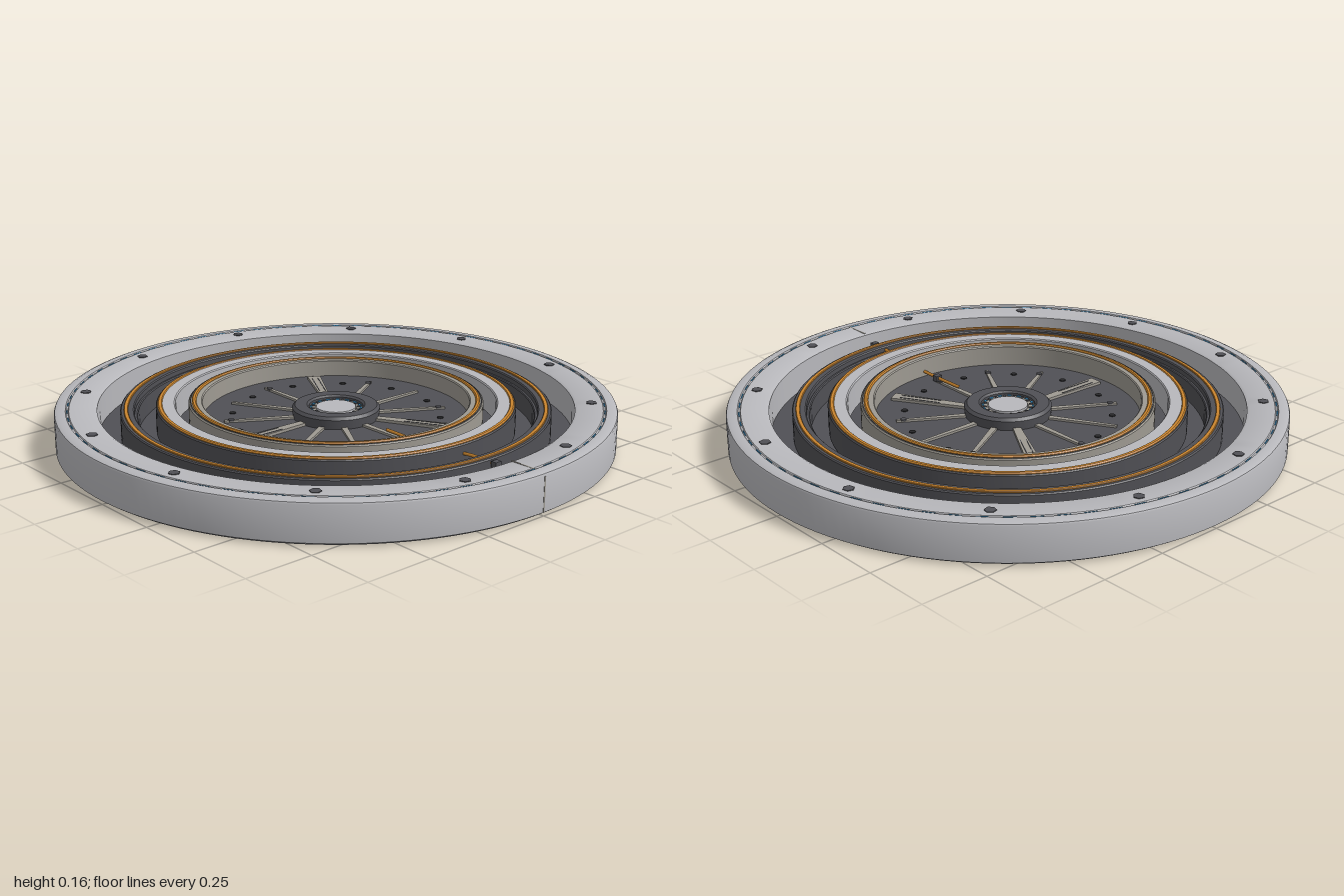
import * as THREE from 'three';
import { toCreasedNormals } from 'three/addons/utils/BufferGeometryUtils.js';

export function createModel() {
  const model = new THREE.Group();
  const mat = (name, color) => {
    const m = new THREE.MeshStandardMaterial({ color });
    m.name = name;
    return m;
  };
  const silver = mat('silver', 0xb8b8bc);
  const dark = mat('dark grey', 0x505055);
  const black = mat('black', 0x262628);
  const copper = mat('copper', 0xca852e);
  const stone = mat('warm grey', 0x9e9a92);
  const blue = mat('blue', 0x3a8fc4);

  const add = (name, geometry, material, parent = model) => {
    const mesh = new THREE.Mesh(geometry, material);
    mesh.name = name;
    parent.add(mesh);
    return mesh;
  };
  // Turned solid; profile runs up the outside and down the inside
  const turn = (name, points, material, parent) => add(name, toCreasedNormals(
    new THREE.LatheGeometry(points.map(([r, y]) => new THREE.Vector2(r, y)), 128), 0.5), material, parent);
  const ring = (name, r0, r1, y0, y1, material, parent) => {
    const b = Math.min(0.004, (r1 - r0) / 4, (y1 - y0) / 4);
    return turn(name, [[r0, y0], [r1, y0], [r1, y1 - b], [r1 - b, y1], [r0 + b, y1], [r0, y1 - b], [r0, y0]],
      material, parent);
  };
  const disc = (name, r, y0, y1, material, sides = 96, parent = model) => {
    const mesh = add(name, new THREE.CylinderGeometry(r, r, y1 - y0, sides), material, parent);
    mesh.position.y = (y0 + y1) / 2;
    return mesh;
  };
  const around = (r, angle, y, mesh) => {
    mesh.position.set(r * Math.cos(angle), y, r * Math.sin(angle));
    mesh.rotation.y = -angle;
    return mesh;
  };

  // Housing
  disc('basePad', 0.955, 0, 0.02, black, 128);
  turn('housing', [[0.95, 0.002], [0.985, 0.002], [1, 0.012], [1, 0.137], [0.997, 0.143], [0.985, 0.148],
    [0.96, 0.148], [0.957, 0.143], [0.951, 0.143], [0.948, 0.147], [0.86, 0.145], [0.85, 0.14],
    [0.85, 0.02]], silver);
  disc('floor', 0.852, 0.018, 0.035, dark, 128);

  // Dashed light line in the rim groove
  for (let i = 0; i < 72; i++) {
    const dash = new THREE.TorusGeometry(0.954, 0.0025, 4, 4, Math.PI / 72);
    dash.rotateX(Math.PI / 2).rotateY(i * Math.PI / 36);
    add('rimLight', dash, blue).position.y = 0.145;
  }
  // Rim bolts and seam
  for (let i = 0; i < 12; i++) {
    const a = (i + 0.5) * Math.PI / 6;
    around(0.91, a, 0.146, disc('rimBolt', 0.02, 0, 0.006, dark, 6));
  }
  add('rimSeam', new THREE.BoxGeometry(0.1, 0.002, 0.006), stone).position.set(0.905, 0.1462, 0);
  add('sideSeam', new THREE.BoxGeometry(0.002, 0.12, 0.006), stone).position.set(1, 0.075, 0);

  // Fixed outer ring
  ring('outerRing', 0.72, 0.77, 0.03, 0.13, dark);
  ring('outerRingStep', 0.708, 0.722, 0.03, 0.11, dark);
  ring('outerCoil', 0.742, 0.757, 0.127, 0.135, copper);

  // Middle and inner rings, each leaning slightly
  const lean = (name, y, angle) => {
    const g = new THREE.Group();
    g.name = name;
    g.position.y = y;
    g.quaternion.setFromAxisAngle(new THREE.Vector3(-1, 0, 1).normalize(), angle);
    model.add(g);
    return g;
  };
  const middle = lean('middleRing', 0.145, 0.008);
  ring('middleBody', 0.575, 0.625, -0.1, 0, silver, middle);
  ring('middleCoil', 0.62, 0.638, -0.02, 0.003, copper, middle);
  ring('middleEdge', 0.625, 0.644, -0.1, -0.003, dark, middle);
  const inner = lean('innerRing', 0.147, 0.014);
  ring('innerBody', 0.478, 0.528, -0.1, 0, stone, inner);
  ring('innerCoil', 0.5, 0.516, -0.02, 0.006, copper, inner);
  ring('innerGroove', 0.519, 0.522, -0.02, 0.002, dark, inner);

  // Deck with radial ribs: every fourth one is broad
  disc('deck', 0.485, 0.03, 0.078, dark);
  const rib = (r0, r1, w0, w1, y, h) => {
    const s = new THREE.Shape([[r0, -w0], [r1, -w1], [r1, w1], [r0, w0]].map(p => new THREE.Vector2(p[0], p[1])));
    const g = new THREE.ExtrudeGeometry(s, { depth: h, bevelEnabled: false });
    return g.rotateX(-Math.PI / 2).translate(0, y, 0);
  };
  for (let i = 0; i < 12; i++) {
    const a = i * Math.PI / 6;
    const broad = i % 4 === 3 || i % 4 === -1;
    const spin = Math.PI / 2 + a - Math.PI / 2;
    const wide = broad;
    const g = wide ? rib(0.15, 0.445, 0.014, 0.025, 0.07, 0.018) : rib(0.15, 0.405, 0.011, 0.006, 0.07, 0.016);
    add(wide ? 'broadRib' : 'rib', g, stone).rotation.y = -spin;
    if (wide) {
      for (const side of [-1, 1]) {
        const line = rib(0.26, 0.415, 0.0015, 0.0015, 0.086, 0.0035).translate(0, 0, side * 0.011);
        add('ribLine', line, dark).rotation.y = -spin;
      }
    } else if (i % 2 === 0 || i % 3 === 1) {
      around(0.38, a, 0.086, disc('ribScrew', 0.011, 0, 0.006, dark, 10));
    }
    around(0.375, a + Math.PI / 12, 0.0785, disc('deckStud', 0.012, 0, 0.005, black, 12));
  }

  // Hub with bearing and centre cap
  turn('hub', [[0.155, 0.07], [0.158, 0.112], [0.148, 0.122], [0.105, 0.122], [0.097, 0.116], [0.097, 0.07]], dark);
  ring('bearing', 0.07, 0.098, 0.07, 0.108, stone);
  disc('centreCap', 0.071, 0.07, 0.114, silver, 48);
  for (let i = 0; i < 16; i++) {
    const mark = add('hubLight', new THREE.BoxGeometry(0.008, 0.004, 0.014), blue);
    around(0.09, i * Math.PI / 8, 0.1085, mark);
    const gap = add('bearingGap', new THREE.BoxGeometry(0.014, 0.004, 0.008), dark);
    around(0.084, (i + 0.5) * Math.PI / 8, 0.1085, gap);
  }

  // Lead wire from the deck out through the rings
  const path = new THREE.CatmullRomCurve3([[0.27, 0.095], [0.4, 0.095], [0.55, 0.1], [0.68, 0.115], [0.79, 0.115]]
    .map(([x, y]) => new THREE.Vector3(x, y, 0)));
  add('leadWire', new THREE.TubeGeometry(path, 32, 0.006, 8), copper);
  for (const [x, y] of [[0.4, 0.094], [0.79, 0.115]]) {
    add('wireClamp', new THREE.BoxGeometry(0.022, 0.022, 0.026), dark).position.set(x, y, 0);
  }
  return model;
}
